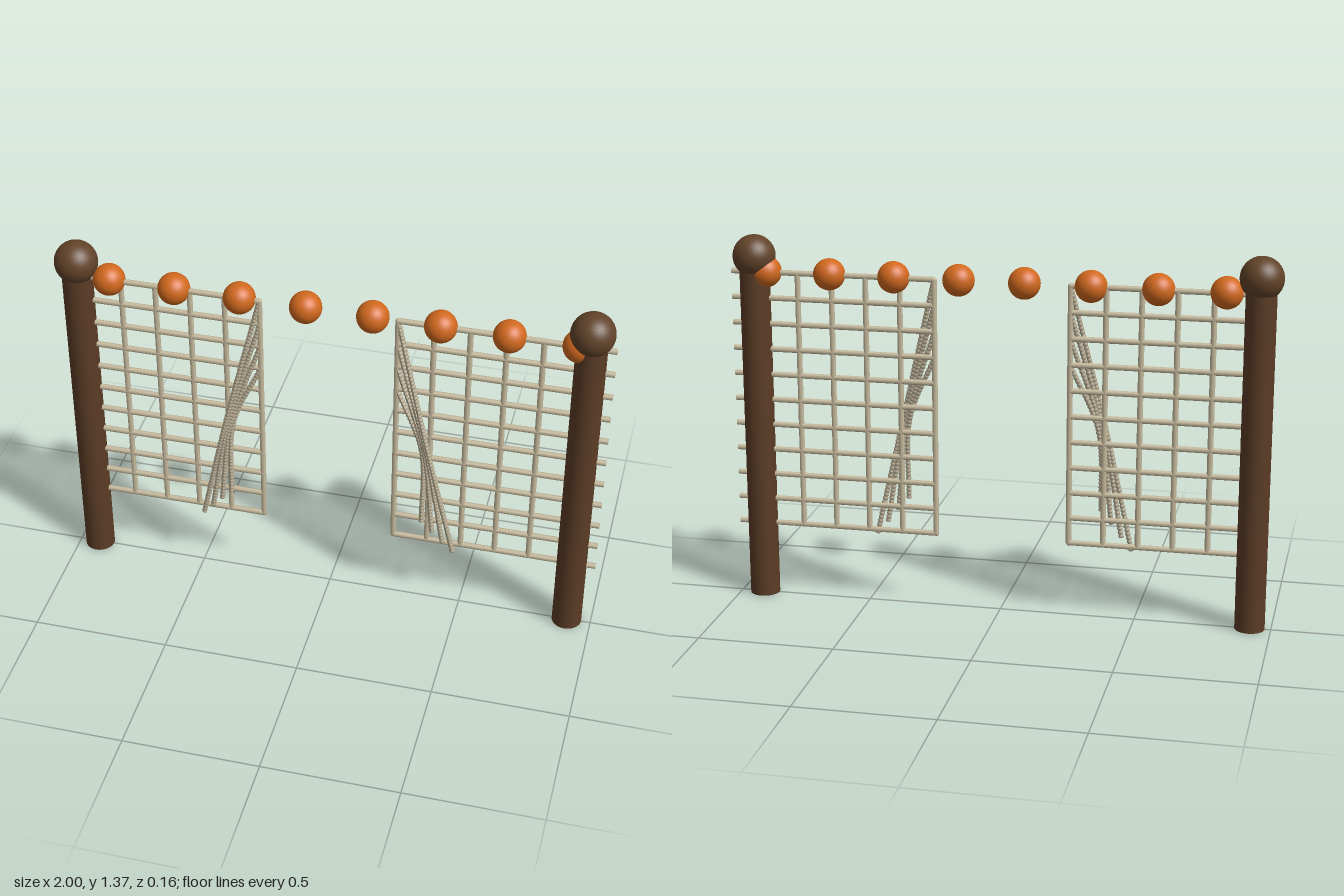
import * as THREE from 'three';

const mat = (name, color) => {
  const m = new THREE.MeshStandardMaterial({ color });
  m.name = name;
  return m;
};

export function createModel() {
  const model = new THREE.Group();
  model.name = 'ropeNetGate';
  const postWood = mat('post wood', 0x5b3c25);
  const capWood = mat('cap wood', 0x624329);
  const ropeMat = mat('net rope', 0xc8bc9f);
  const strandMat = mat('loose rope', 0xb8ad94);
  const floatMat = mat('orange float', 0xd2691e);

  const add = (parent, name, geometry, material, x = 0, y = 0, z = 0) => {
    const mesh = new THREE.Mesh(geometry, material);
    mesh.name = name;
    mesh.position.set(x, y, z);
    parent.add(mesh);
    return mesh;
  };

  const axis = -0.006; // middle of the gap between the two nets
  const top = 1.238, bottom = 0.28, rows = 11, step = 0.127, ropeR = 0.0105;
  const rowY = (i) => top - (i * (top - bottom)) / (rows - 1);

  // Rope with evenly spaced swellings, made by pulsing a tube's radius
  const twistedRope = (points, radius) => {
    const curve = new THREE.CatmullRomCurve3(points);
    const beads = Math.round(curve.getLength() / 0.015);
    const rings = beads * 4, sides = 7;
    const geometry = new THREE.TubeGeometry(curve, rings, radius, sides);
    const pos = geometry.attributes.position;
    const v = new THREE.Vector3();
    for (let i = 0; i <= rings; i++) {
      const centre = curve.getPointAt(i / rings);
      let k = 0.7 + 0.3 * Math.abs(Math.sin((i / 4) * Math.PI));
      if (i === 0 || i === rings) k = 0; // closed ends
      for (let j = 0; j <= sides; j++) {
        const n = i * (sides + 1) + j;
        v.fromBufferAttribute(pos, n).sub(centre).multiplyScalar(k).add(centre);
        pos.setXYZ(n, v.x, v.y, v.z);
      }
    }
    geometry.computeVertexNormals();
    return geometry;
  };

  for (const side of [-1, 1]) {
    const label = side > 0 ? 'left' : 'right';
    const at = (d) => axis + side * d;

    // Post with a ball on top
    add(model, label + 'Post', new THREE.CylinderGeometry(0.055, 0.055, 1.25, 32), postWood, at(0.917), 0.625);
    add(model, label + 'PostBall', new THREE.SphereGeometry(0.078, 32, 20), capWood, at(0.917), 1.296);

    // Net: upright and level ropes; the left net's level ropes pass through the post
    const net = new THREE.Group();
    net.name = label + 'Net';
    model.add(net);
    const inner = 0.248;
    for (let i = 0; i < 6; i++) {
      add(net, 'uprightRope', new THREE.CylinderGeometry(ropeR, ropeR, top - bottom, 8),
        ropeMat, at(inner + i * step), (top + bottom) / 2);
    }
    const outer = side > 0 ? 1.004 : 0.9;
    for (let i = 0; i < rows; i++) {
      const level = add(net, 'levelRope', new THREE.CylinderGeometry(ropeR, ropeR, outer - inner, 8),
        ropeMat, at((inner + outer) / 2), rowY(i));
      level.rotation.z = Math.PI / 2;
      add(net, 'ropeEnd', new THREE.SphereGeometry(ropeR, 8, 6), ropeMat, at(inner), rowY(i));
    }

    // Loose strands gathered from the net's inner edge
    for (let i = 0; i < 4; i++) {
      const path = [
        new THREE.Vector3(at(inner), rowY(i), 0),
        new THREE.Vector3(at(0.362 - (i - 1.5) * 0.009), 0.71, 0.036 - i * 0.004),
        new THREE.Vector3(at(0.478 - i * 0.039), 0.255 + i * 0.046, 0.022 + i * 0.007),
      ];
      add(model, label + 'LooseStrand', twistedRope(path, 0.0105), strandMat);
    }
  }

  // Row of floats along the top line
  for (let i = 0; i < 8; i++) {
    add(model, 'float', new THREE.SphereGeometry(0.058, 32, 20), floatMat, -0.804 + i * 0.239, 1.24);
  }
  return model;
}
